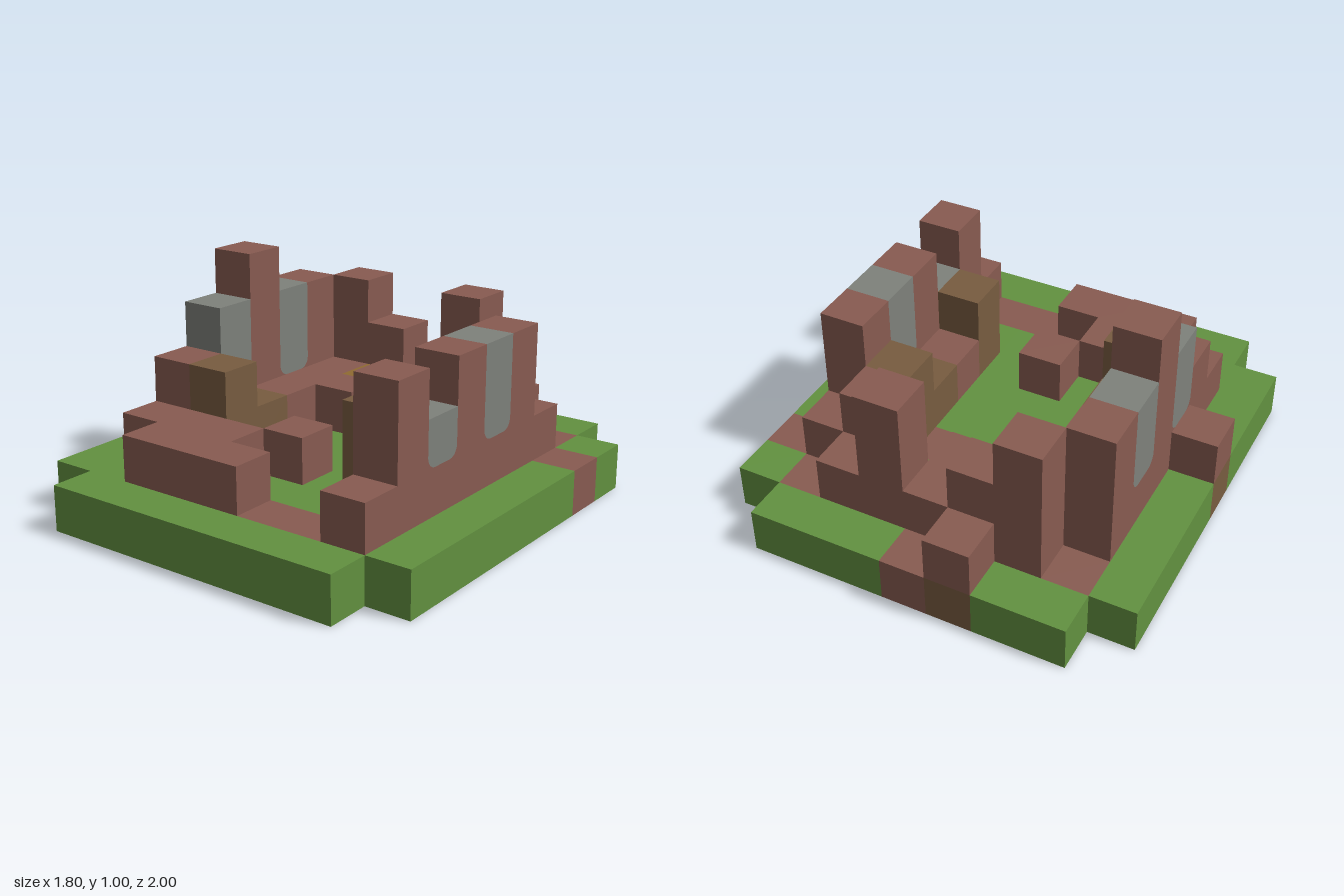
import * as THREE from 'three';
import { mergeGeometries } from 'three/addons/utils/BufferGeometryUtils.js';

const CELL = 0.2;
const ROUND = 0.05;

// Ground plan, back row first: G grass, R brick, S stone, W timber, Y gold
const PLAN = [
  '.GGRRGGG.',
  'GRRRRRRRG',
  'GRRYRGRRR',
  'GSRRGRWRG',
  'GRRGGGWSG',
  'RSWGGGRRG',
  'GRWGRGWSG',
  'GRRRGGGRG',
  'GGRRRRRRG',
  '.GGGGGGG.',
];

// Height of each column in cells
const HEIGHTS = [
  '011211110',
  '114324211',
  '142221321',
  '142211341',
  '152111241',
  '242111241',
  '133121331',
  '122211141',
  '112221121',
  '011111110',
];

function material(name, color) {
  const m = new THREE.MeshStandardMaterial({ color });
  m.name = name;
  return m;
}

const heightAt = (c, r) => Number(HEIGHTS[r]?.[c] ?? 0);

// Which part a cell belongs to
function partAt(c, r, level) {
  const kind = PLAN[r][c];
  if (kind === 'G') return 'lawn';
  if (level === 0) return heightAt(c, r) === 1 ? 'paving' : 'foundation';
  if (kind === 'S') return level >= 2 ? 'stoneWindow' : 'brickWall';
  return { R: 'brickWall', W: 'timber', Y: 'goldBlock' }[kind];
}

// Window panel with rounded lower corners
function windowPanel() {
  const h = CELL / 2, k = ROUND;
  const s = new THREE.Shape();
  s.moveTo(-h, h);
  s.lineTo(-h, -h + k);
  s.absarc(-h + k, -h + k, k, Math.PI, Math.PI * 1.5, false);
  s.lineTo(h - k, -h);
  s.absarc(h - k, -h + k, k, Math.PI * 1.5, Math.PI * 2, false);
  s.lineTo(h, h);
  return new THREE.ShapeGeometry(s, 6);
}

// Brick left over in the lower corners of a window panel
function windowCorners() {
  const h = CELL / 2, k = ROUND;
  const a = new THREE.Shape();
  a.moveTo(-h, -h);
  a.lineTo(-h + k, -h);
  a.absarc(-h + k, -h + k, k, Math.PI * 1.5, Math.PI, true);
  const b = new THREE.Shape();
  b.moveTo(h, -h);
  b.lineTo(h, -h + k);
  b.absarc(h - k, -h + k, k, 0, -Math.PI / 2, true);
  return new THREE.ShapeGeometry([a, b], 6);
}

// Face directions with the turn that points a +z plane that way
const SIDES = [
  { d: [1, 0, 0], turn: [0, Math.PI / 2] },
  { d: [-1, 0, 0], turn: [0, -Math.PI / 2] },
  { d: [0, 0, 1], turn: [0, 0] },
  { d: [0, 0, -1], turn: [0, Math.PI] },
  { d: [0, 1, 0], turn: [-Math.PI / 2, 0] },
  { d: [0, -1, 0], turn: [Math.PI / 2, 0] },
];

export function createModel() {
  const group = new THREE.Group();
  group.name = 'ruinedFort';

  const grass = material('grass green', 0x629140);
  const brick = material('brick red', 0x885b51);
  const stone = material('stone grey', 0x7e817b);
  const wood = material('earth brown', 0x785c40);
  const gold = material('gold', 0x8f6b31);
  const parts = {
    lawn: grass, paving: brick, foundation: wood, brickWall: brick,
    stoneWindow: stone, timber: wood, goldBlock: gold,
  };
  const faces = Object.fromEntries(Object.keys(parts).map((p) => [p, []]));

  // Add one outward face of a cell to a part
  function addFace(part, geometry, side, c, r, level) {
    const [dx, dy, dz] = side.d;
    geometry.rotateX(side.turn[0]).rotateY(side.turn[1]);
    geometry.translate(
      (c - 4 + dx / 2) * CELL,
      (level + 0.5 + dy / 2) * CELL,
      (r - 4.5 + dz / 2) * CELL,
    );
    faces[part].push(geometry);
  }

  // Keep only the faces that touch open air
  for (let r = 0; r < PLAN.length; r++) {
    for (let c = 0; c < PLAN[r].length; c++) {
      for (let level = 0; level < heightAt(c, r); level++) {
        const part = partAt(c, r, level);
        for (const side of SIDES) {
          const [dx, dy, dz] = side.d;
          const next = level + dy;
          if (next >= 0 && next < heightAt(c + dx, r + dz)) continue;
          if (part === 'stoneWindow' && level === 2 && dx !== 0) {
            addFace(part, windowPanel(), side, c, r, level);
            addFace('brickWall', windowCorners(), side, c, r, level);
          } else {
            addFace(part, new THREE.PlaneGeometry(CELL, CELL), side, c, r, level);
          }
        }
      }
    }
  }

  for (const [name, mat] of Object.entries(parts)) {
    const mesh = new THREE.Mesh(mergeGeometries(faces[name]), mat);
    mesh.name = name;
    group.add(mesh);
  }
  return group;
}
